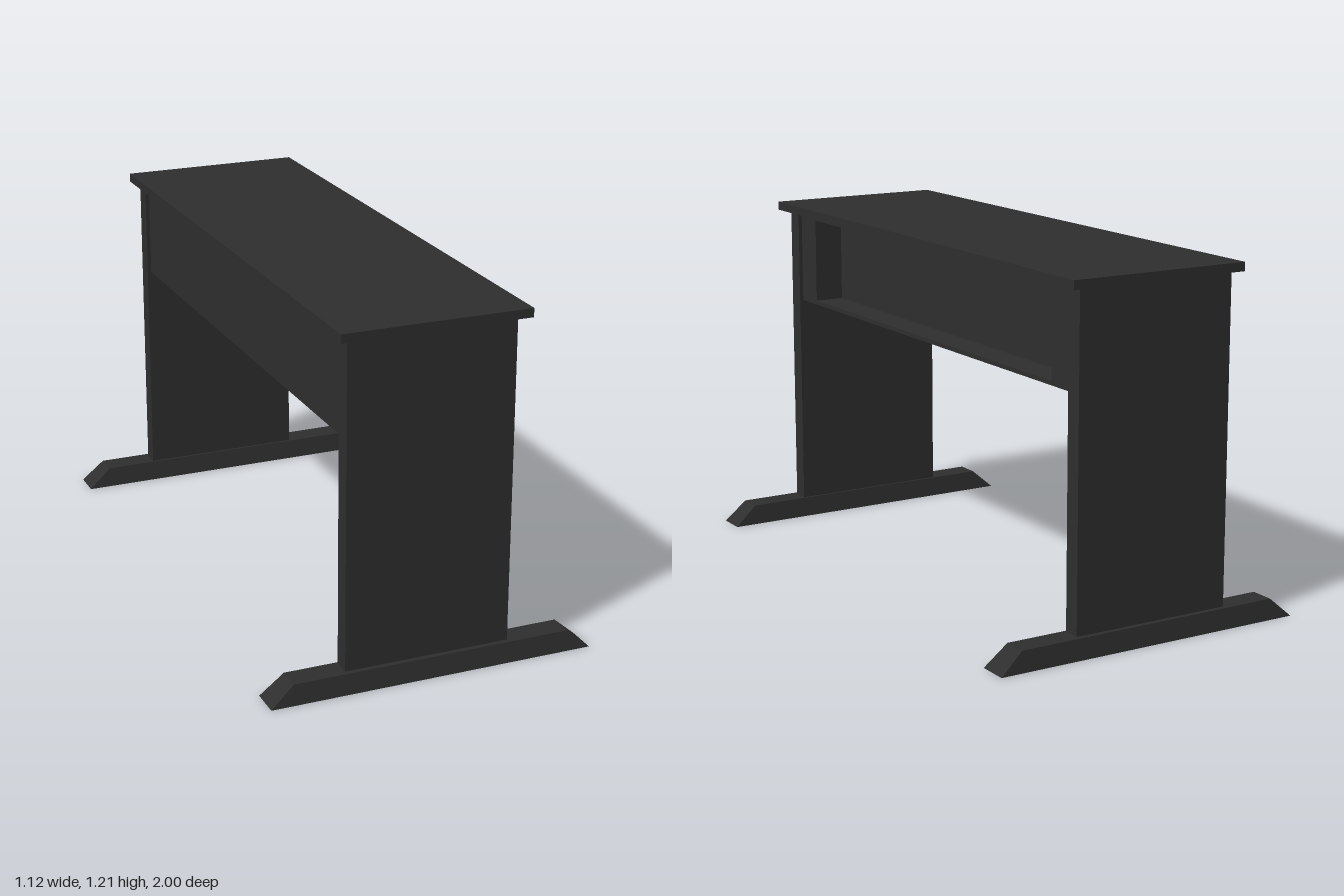
import * as THREE from 'three';

const charcoal = new THREE.MeshStandardMaterial({ color: 0x2e2e2e });
charcoal.name = 'charcoal';

// Box given by its minimum and maximum on each axis
function block(name, [x0, x1], [y0, y1], [z0, z1]) {
  const geometry = new THREE.BoxGeometry(x1 - x0, y1 - y0, z1 - z0);
  geometry.translate((x0 + x1) / 2, (y0 + y1) / 2, (z0 + z1) / 2);
  const mesh = new THREE.Mesh(geometry, charcoal);
  mesh.name = name;
  return mesh;
}

// Long foot bar whose four sides slope in towards the top
function foot(side) {
  const geometry = new THREE.BoxGeometry(1.125, 0.07, 0.105);
  const p = geometry.attributes.position;
  for (let i = 0; i < p.count; i++) {
    if (p.getY(i) > 0) {
      p.setX(i, Math.sign(p.getX(i)) * 0.4825);
      p.setZ(i, Math.sign(p.getZ(i)) * 0.0425);
    }
  }
  geometry.computeVertexNormals();
  const mesh = new THREE.Mesh(geometry, charcoal);
  mesh.name = side > 0 ? 'frontFoot' : 'backFoot';
  mesh.position.set(-0.0025, 0.035, side * 0.9475);
  return mesh;
}

// Frame around the shallow recess on the open long side
function recessFrame(depth) {
  const shape = new THREE.Shape([
    new THREE.Vector2(-0.915, 0.84), new THREE.Vector2(0.915, 0.84),
    new THREE.Vector2(0.915, 1.17), new THREE.Vector2(-0.915, 1.17),
  ]);
  shape.holes.push(new THREE.Path([
    new THREE.Vector2(-0.8, 0.855), new THREE.Vector2(-0.8, 1.155),
    new THREE.Vector2(0.8, 1.155), new THREE.Vector2(0.8, 0.855),
  ]));
  const geometry = new THREE.ExtrudeGeometry(shape, { depth, bevelEnabled: false });
  geometry.rotateY(Math.PI / 2);
  const mesh = new THREE.Mesh(geometry, charcoal);
  mesh.name = 'recessFrame';
  return mesh;
}

export function createModel() {
  const group = new THREE.Group();
  group.name = 'desk';

  // Top floats a hair above the panels
  group.add(block('tableTop', [-0.335, 0.308], [1.176, 1.206], [-1, 1]));

  // Side panels and their feet
  for (const side of [1, -1]) {
    const z = side > 0 ? [0.913, 0.973] : [-0.973, -0.913];
    group.add(block(side > 0 ? 'frontLegPanel' : 'backLegPanel', [-0.304, 0.268], [0.07, 1.17], z));
    group.add(foot(side));
  }

  // Storage box between the panels, recessed on the +x side
  group.add(block('storageBox', [-0.29, 0.15], [0.84, 1.17], [-0.915, 0.915]));
  const frame = recessFrame(0.105);
  frame.position.x = 0.15;
  group.add(frame);

  return group;
}
